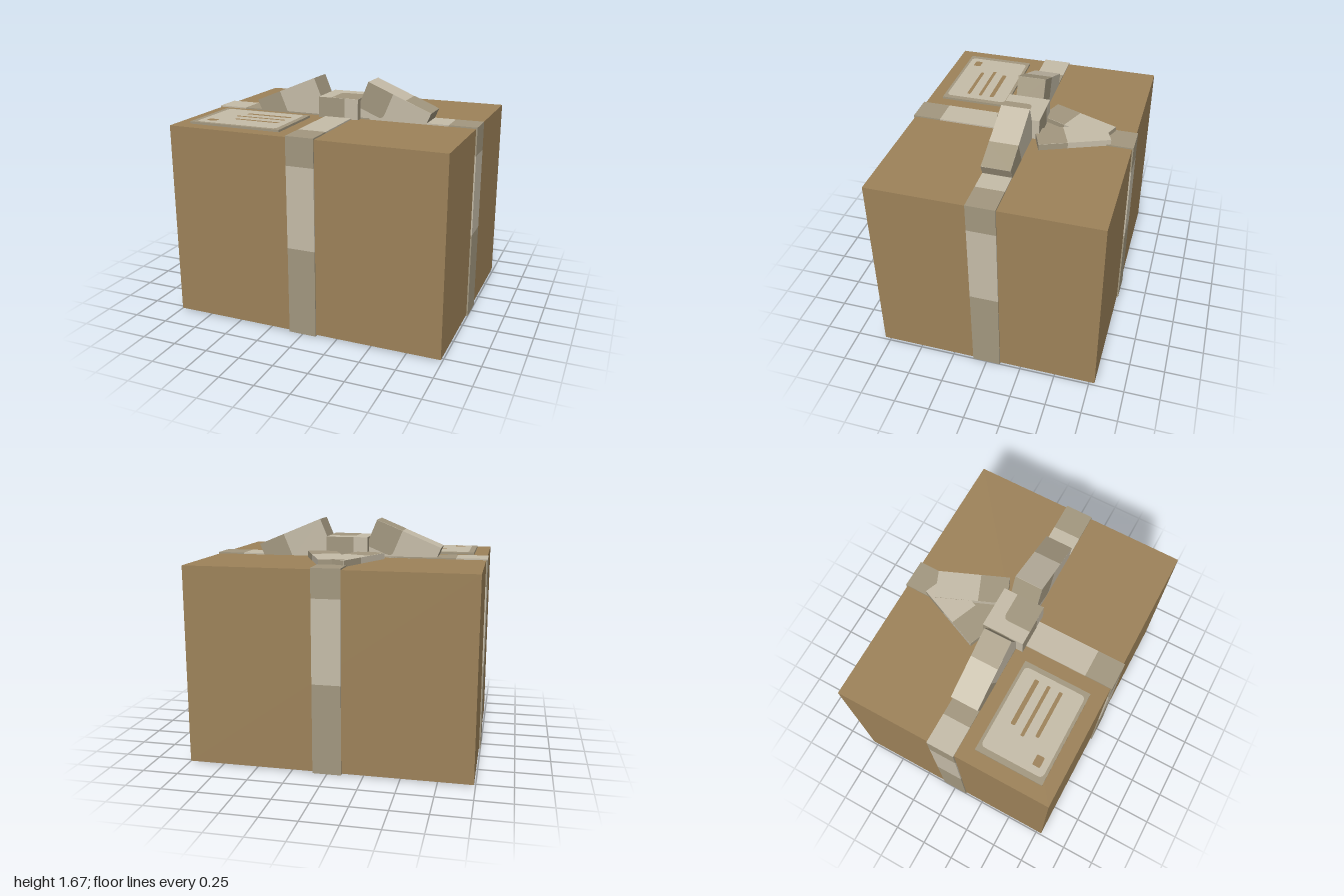
import * as THREE from 'three';

const mat = (name, color) => {
  const m = new THREE.MeshStandardMaterial({ color });
  m.name = name;
  return m;
};

export function createModel() {
  const cardboard = mat('cardboard', 0x9d8259);
  const light = mat('lightRibbon', 0xc5bca8);
  const dark = mat('darkRibbon', 0xa2977f);
  const model = new THREE.Group();
  model.name = 'giftBox';

  // Box given by its minimum and maximum corners
  const block = (parent, name, material, [x0, y0, z0], [x1, y1, z1]) => {
    const mesh = new THREE.Mesh(new THREE.BoxGeometry(x1 - x0, y1 - y0, z1 - z0), material);
    mesh.position.set((x0 + x1) / 2, (y0 + y1) / 2, (z0 + z1) / 2);
    mesh.name = name;
    parent.add(mesh);
    return mesh;
  };

  block(model, 'carton', cardboard, [-0.99, 0.01, -0.79], [0.99, 1.4, 0.79]);

  // Ribbon bands: runs of alternating colour on the four sides, top and bottom
  const ribbon = new THREE.Group();
  ribbon.name = 'ribbon';
  model.add(ribbon);
  const runs = (name, stops, first, corners) => {
    for (let i = 0; i + 1 < stops.length; i++) {
      const isDark = (i + first) % 2 === 0;
      const [lo, hi] = corners(stops[i], stops[i + 1]);
      block(ribbon, name, isDark ? dark : light, lo, hi);
    }
  };
  const W = 0.1;
  for (const s of [-1, 1]) {
    const x = [0.99 * s, s].sort((a, b) => a - b);
    const z = [0.79 * s, 0.8 * s].sort((a, b) => a - b);
    runs('sideBand', [0.01, 0.63, 1.21, 1.4], 0, (a, b) => [[x[0], a, -W], [x[1], b, W]]);
    runs('faceBand', [0.01, 0.63, 1.21, 1.4], 0, (a, b) => [[-W, a, z[0]], [W, b, z[1]]]);
  }
  runs('topCrossBand', [-1, -0.78, 0.22, 0.8, 1], 1, (a, b) => [[a, 1.4, -W], [b, 1.41, W]]);
  runs('topBackBand', [-0.8, -W], 0, (a, b) => [[-W, 1.4, a], [W, 1.41, b]]);
  runs('topFrontBand', [W, 0.6, 0.8], 1, (a, b) => [[-W, 1.4, a], [W, 1.41, b]]);
  runs('bottomCrossBand', [-1, -0.73, -0.15, 0.18, 0.72, 1], 0, (a, b) => [[a, 0, -W], [b, 0.01, W]]);
  runs('bottomBackBand', [-0.8, -0.63, -W], 0, (a, b) => [[-W, 0, a], [W, 0.01, b]]);
  runs('bottomFrontBand', [W, 0.27, 0.63, 0.8], 0, (a, b) => [[-W, 0, a], [W, 0.01, b]]);

  // Flat dark patch in the upper left corner of a w by h face, inner corner rounded
  const patchGeometry = (w, h) => {
    const a = Math.min(0.2, w), b = Math.min(0.2, h);
    const r = a < w && b < h ? 0.04 : 0;
    const x = -w / 2, y = h / 2;
    const s = new THREE.Shape();
    s.moveTo(x, y);
    s.lineTo(x, y - b);
    s.lineTo(x + a - r, y - b);
    if (r) s.quadraticCurveTo(x + a, y - b, x + a, y - b + r);
    s.lineTo(x + a, y);
    s.closePath();
    return new THREE.ShapeGeometry(s, 5);
  };

  // Light block with a dark patch on every side and on the top
  const bow = new THREE.Group();
  bow.name = 'bow';
  model.add(bow);
  const bowPiece = (name, w, h, d, x, y, z) => {
    const piece = new THREE.Group();
    piece.name = name;
    piece.position.set(x, y, z);
    block(piece, name + 'Body', light, [-w / 2, -h / 2, -d / 2], [w / 2, h / 2, d / 2]);
    const e = 0.0015;
    for (let i = 0; i < 4; i++) {
      const [fw, fd] = i % 2 ? [d, w] : [w, d];
      const geo = patchGeometry(fw, h).translate(0, 0, fd / 2 + e).rotateY(i * Math.PI / 2);
      const side = new THREE.Mesh(geo, dark);
      side.name = name + 'SidePatch';
      piece.add(side);
    }
    const geo = patchGeometry(w, d).rotateZ(Math.PI).rotateX(-Math.PI / 2).translate(0, h / 2 + e, 0);
    const top = new THREE.Mesh(geo, dark);
    top.name = name + 'TopPatch';
    piece.add(top);
    bow.add(piece);
    return piece;
  };

  bowPiece('knot', 0.3, 0.15, 0.3, 0, 1.473, 0);
  const tilt = Math.PI / 8;
  for (const s of [-1, 1]) {
    bowPiece('bowLoop', 0.5, 0.3, 0.2, s * 0.384, 1.436, 0).rotation.z = -s * tilt;
    bowPiece('bowTail', 0.2, 0.045, 0.5, s * 0.091, 1.421 + s * 0.001, -0.373).rotation.y = s * tilt;
  }

  // Address card with a rounded light panel, writing lines and a stamp
  const card = new THREE.Group();
  card.name = 'card';
  model.add(card);
  block(card, 'cardBase', dark, [-0.89, 1.4, 0.2], [-0.2, 1.416, 0.69]);
  const plate = (name, material, x0, x1, z0, z1, r, y) => {
    const s = new THREE.Shape();
    s.moveTo(x0 + r, -z1);
    s.lineTo(x1 - r, -z1);
    s.quadraticCurveTo(x1, -z1, x1, -z1 + r);
    s.lineTo(x1, -z0 - r);
    s.quadraticCurveTo(x1, -z0, x1 - r, -z0);
    s.lineTo(x0 + r, -z0);
    s.quadraticCurveTo(x0, -z0, x0, -z0 - r);
    s.lineTo(x0, -z1 + r);
    s.quadraticCurveTo(x0, -z1, x0 + r, -z1);
    const mesh = new THREE.Mesh(new THREE.ShapeGeometry(s, 5).rotateX(-Math.PI / 2), material);
    mesh.position.y = y;
    mesh.name = name;
    card.add(mesh);
  };
  plate('cardPanel', light, -0.85, -0.235, 0.22, 0.67, 0.035, 1.418);
  for (const [x, z, h] of [[-0.63, 0.335, 0.016], [-0.67, 0.425, 0.012], [-0.63, 0.515, 0.013]]) {
    plate('cardLine', cardboard, x, -0.285, z - h, z + h, 0.01, 1.42);
  }
  plate('cardStamp', cardboard, -0.8, -0.725, 0.57, 0.625, 0.01, 1.42);

  return model;
}
